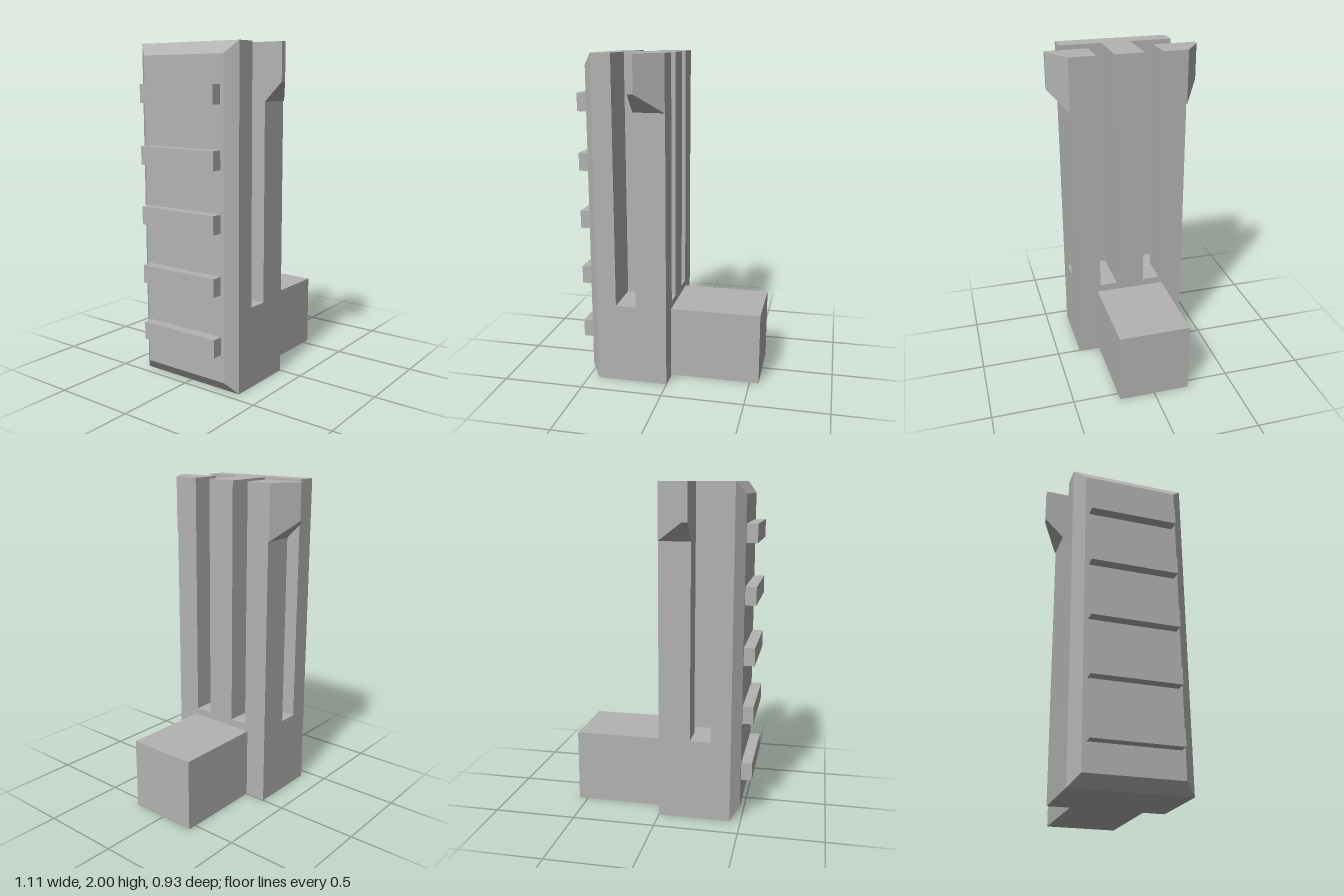
import * as THREE from 'three';
import { ConvexGeometry } from 'three/addons/geometries/ConvexGeometry.js';

export function createModel() {
  const model = new THREE.Group();
  model.name = 'latchClip';
  const grey = new THREE.MeshStandardMaterial({ color: 0xb3b3b3 });
  grey.name = 'plain grey';

  const add = (name, geometry) => {
    const mesh = new THREE.Mesh(geometry, grey);
    mesh.name = name;
    model.add(mesh);
  };
  // Box from its limits on each axis
  const box = (name, x0, x1, y0, y1, z0, z1) => {
    const g = new THREE.BoxGeometry(x1 - x0, y1 - y0, z1 - z0);
    g.translate((x0 + x1) / 2, (y0 + y1) / 2, (z0 + z1) / 2);
    add(name, g);
  };
  // Flat-faced convex solid from its corners
  const hull = (name, corners) =>
    add(name, new ConvexGeometry(corners.map((c) => new THREE.Vector3(...c))));

  const W = 0.354; // half width of the body
  const H = 2;

  // Grip plate with its outer face bevelled on all four edges
  const plate = [];
  for (const [x, dy, z] of [[-0.315, 0, W], [-0.435, 0, W], [-0.49, 0.07, 0.29]]) {
    for (const s of [-1, 1]) plate.push([x, dy, s * z], [x, H - dy, s * z]);
  }
  hull('gripPlate', plate);

  // Solid foot of the body, with the central web rising from it
  box('bodyBase', -0.315, 0, 0, 0.49, -W, W);
  box('centreWeb', -0.315, 0, 0.49, H, -0.09, 0.09);

  // Projecting block
  box('footBlock', 0, 0.555, 0, 0.445, -0.22, 0.22);

  // Grip ribs
  for (let i = 0; i < 5; i++) {
    const y = 0.29 + i * 0.356;
    box('gripRib', -0.555, -0.49, y - 0.054, y + 0.054, -0.266, 0.266);
  }

  // Springy arms with wedge-shaped hooks on both sides
  for (const s of [-1, 1]) {
    const z = [s * 0.2, s * W].sort((a, b) => a - b);
    box('latchArm', -0.19, 0, 0.49, H, z[0], z[1]);
    const hook = [];
    for (const [x, hz, y] of [
      [-0.19, W, 1.67], [-0.19, 0.465, 1.78], [-0.155, 0.465, 1.78], [0, 0.36, 1.67], [0, W, 1.67],
    ]) hook.push([x, y, s * hz], [x, H, s * hz]);
    hull('latchHook', hook);
  }

  return model;
}
